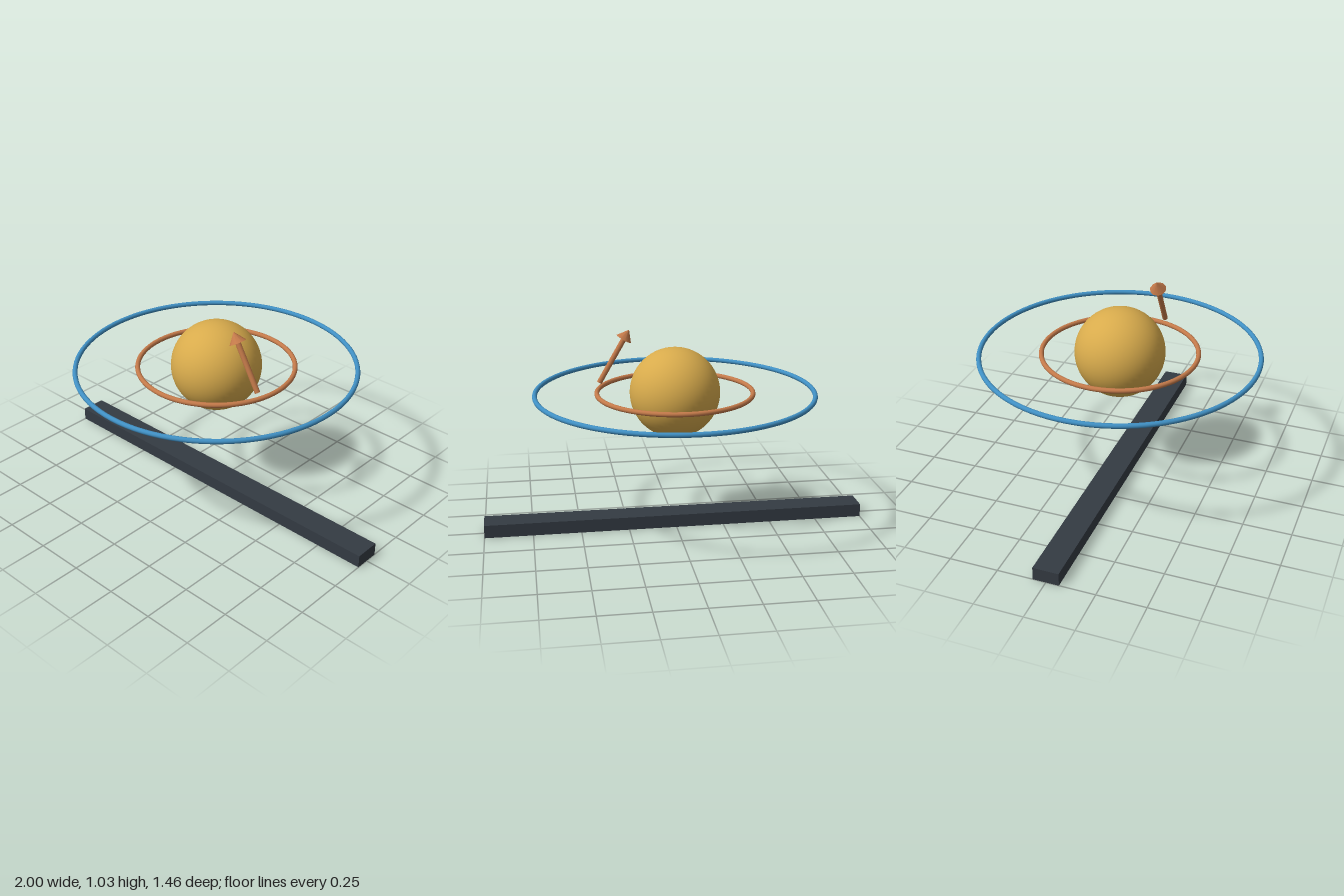
import * as THREE from 'three';

const mat = (name, color) => {
  const m = new THREE.MeshStandardMaterial({ color });
  m.name = name;
  return m;
};

export function createModel() {
  const model = new THREE.Group();
  model.name = 'orbitModel';
  const gold = mat('gold', 0xd8ab4c);
  const copper = mat('copper', 0xc47a4a);
  const blue = mat('blue', 0x4090c4);
  const slate = mat('slate', 0x343b43);
  const centerY = 0.72;

  const add = (name, geometry, material, parent = model) => {
    const mesh = new THREE.Mesh(geometry, material);
    mesh.name = name;
    parent.add(mesh);
    return mesh;
  };

  // Base bar
  add('baseBar', new THREE.BoxGeometry(2, 0.068, 0.133), slate).position.y = 0.034;

  // Central sphere
  add('centralSphere', new THREE.SphereGeometry(0.232, 48, 32), gold).position.y = centerY;

  // Two flat concentric rings
  const ring = (name, radius, material) => {
    const mesh = add(name, new THREE.TorusGeometry(radius, 0.0125, 12, 96), material);
    mesh.rotation.x = Math.PI / 2;
    mesh.position.y = centerY;
  };
  ring('innerRing', 0.4, copper);
  ring('outerRing', 0.715, blue);

  // Tilted arrow, built upright from its tail and leaned toward -x
  const arrow = new THREE.Group();
  arrow.name = 'arrow';
  const shaftLength = 0.26;
  const headLength = 0.055;
  add('arrowShaft', new THREE.CylinderGeometry(0.014, 0.014, shaftLength, 12), copper, arrow)
    .position.y = shaftLength / 2;
  add('arrowHead', new THREE.ConeGeometry(0.043, headLength, 10), copper, arrow)
    .position.y = shaftLength + headLength / 2;
  arrow.position.set(0.377, 0.755, 0.117);
  arrow.rotation.z = Math.PI / 6;
  model.add(arrow);

  return model;
}
